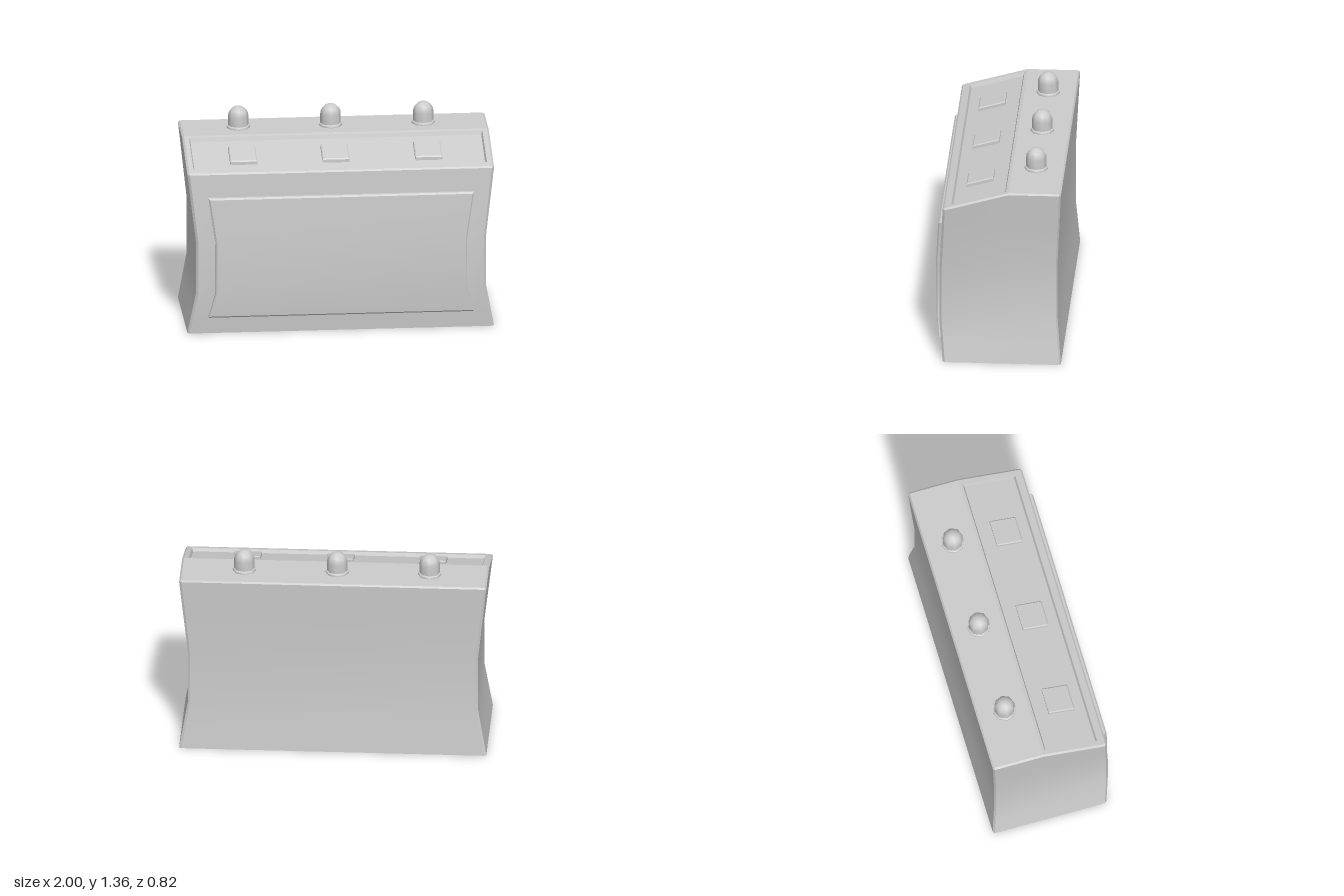
import * as THREE from 'three';
import { toCreasedNormals } from 'three/addons/utils/BufferGeometryUtils.js';

const material = new THREE.MeshStandardMaterial({ color: 0xcccccc, side: THREE.DoubleSide });

// Collects quads given counter-clockwise corners
function pushQuad(out, a, b, c, d) {
  out.push(...a, ...b, ...c, ...a, ...c, ...d);
}

// Joins closed rings of points; skip(level, index) leaves a quad open
function pushLoft(out, rings, skip = () => false) {
  for (let r = 0; r < rings.length - 1; r++) {
    const n = rings[r].length;
    for (let i = 0; i < n; i++) {
      const j = (i + 1) % n;
      if (!skip(r, i)) pushQuad(out, rings[r][i], rings[r][j], rings[r + 1][j], rings[r + 1][i]);
    }
  }
}

function makeMesh(name, positions, crease = 0.5) {
  const geometry = new THREE.BufferGeometry();
  geometry.setAttribute('position', new THREE.Float32BufferAttribute(positions, 3));
  const mesh = new THREE.Mesh(toCreasedNormals(geometry, crease), material);
  mesh.name = name;
  return mesh;
}

// Height levels as fractions: [t, side pinch, forward bow, panel half width]
const levels = [
  [0, 0, 0, 0.865],
  [0.106, 0.022, 0.01, 0.865],
  [0.265, 0.055, 0.025, 0.82],
  [0.573, 0.055, 0.025, 0.82],
  [0.86, 0.018, 0.008, 0.865],
  [1, 0, 0, 0.865],
];
const FRONT = 0.36;
const KNEE = -0.07;
const RIM = 0.35;
const topHeight = (z) => 1.08 + 0.12 * THREE.MathUtils.clamp((0.345 - z) / (0.345 - KNEE), 0, 1);

// Mirrors the +x half of a ring onto -x
const mirrorRing = (half) => [...half, ...half.slice().reverse().map(([x, y, z]) => [-x, y, z])];

// Hollow pinched body with bevelled corners and an open bottom
function createBody() {
  const rings = levels.map(([t, pinch, bow, panel]) => {
    const plan = [[0.985, FRONT], [1, 0.345], [1, KNEE], [1, -0.4], [0.985, -0.41]];
    const half = plan.map(([x, z]) => [x - pinch, t * topHeight(z), z + bow]);
    return mirrorRing([[panel, t * topHeight(FRONT), FRONT + bow], ...half]);
  });
  // Bevelled upper rim
  const rim = [[0.865, RIM], [0.988, RIM], [0.988, RIM], [0.988, KNEE], [0.988, -0.4], [0.988, -0.4]];
  rings.push(mirrorRing(rim.map(([x, z]) => [x, topHeight(z) + 0.01, z])));
  const out = [];
  // The opening behind the raised front panel stays empty
  pushLoft(out, rings, (r, i) => i === rings[0].length - 1 && r >= 1 && r <= 3);
  return makeMesh('body', out);
}

// Raised front panel following the pinch and bow of the body
function createFrontPanel() {
  const rows = levels.slice(1, 5);
  const last = rows.length - 1;
  const ring = (inset, lift) => {
    const side = rows.map(([t, , bow, w], i) => {
      const dy = i === 0 ? inset : i === last ? -inset : 0;
      return [w - inset, t * 1.08 + dy, FRONT + bow + lift];
    });
    return mirrorRing(side);
  };
  const rings = [ring(0, 0), ring(0, 0.02), ring(0.01, 0.03)];
  const out = [];
  pushLoft(out, rings);
  const face = rings[2];
  const n = face.length;
  for (let i = 0; i < last; i++) pushQuad(out, face[n - 1 - i], face[i], face[i + 1], face[n - 2 - i]);
  return makeMesh('frontPanel', out);
}

// Rectangle lying on the sloped top, sunk by depth
function slopeRect(cx, halfWidth, zFront, zBack, depth) {
  const point = (x, z) => [x, 1.09 + 0.12 * (RIM - z) / (RIM - KNEE) - depth, z];
  return [
    point(cx - halfWidth, zFront), point(cx + halfWidth, zFront),
    point(cx + halfWidth, zBack), point(cx - halfWidth, zBack),
  ];
}

function createSlopePart(name, rings) {
  const out = [];
  pushLoft(out, rings);
  pushQuad(out, ...rings[rings.length - 1]);
  return makeMesh(name, out, 0.3);
}

// Small collar and domed cap, eight sided
function createLamp(x) {
  const lamp = new THREE.Group();
  lamp.name = 'lamp';
  const lathe = (name, pairs) => {
    const points = pairs.map(([r, y]) => new THREE.Vector2(r, y));
    const geometry = toCreasedNormals(new THREE.LatheGeometry(points, 8).toNonIndexed(), 0.85);
    const mesh = new THREE.Mesh(geometry, material);
    mesh.name = name;
    lamp.add(mesh);
  };
  lathe('lampCollar', [[0.076, 0], [0.076, 0.013], [0.07, 0.018], [0.06, 0.018]]);
  const dome = [[0.067, 0.01], [0.067, 0.08]];
  for (let i = 1; i <= 5; i++) {
    const a = (i / 5) * Math.PI / 2;
    dome.push([i === 5 ? 0 : 0.067 * Math.cos(a), 0.08 + 0.067 * Math.sin(a)]);
  }
  lathe('lampDome', dome);
  lamp.position.set(x, 1.21, -0.225);
  return lamp;
}

export function createModel() {
  const model = new THREE.Group();
  model.name = 'controlConsole';
  model.add(createBody(), createFrontPanel());

  // Flat rear strip of the top
  const strip = [];
  pushQuad(strip, [-0.988, 1.21, KNEE], [0.988, 1.21, KNEE], [0.988, 1.21, -0.4], [-0.988, 1.21, -0.4]);
  model.add(makeMesh('topStrip', strip));

  // Sloped frame with its sunken control surface
  model.add(createSlopePart('controlDeck', [
    slopeRect(0, 0.988, RIM, KNEE, 0),
    slopeRect(0, 0.957, 0.305, -0.05, 0),
    slopeRect(0, 0.948, 0.295, -0.042, 0.025),
  ]));

  // Three buttons, each with a lamp behind it
  for (const x of [-0.622, -0.02, 0.585]) {
    const button = createSlopePart('button', [
      slopeRect(x, 0.088, 0.225, 0.05, 0.025),
      slopeRect(x, 0.088, 0.225, 0.05, 0.005),
      slopeRect(x, 0.081, 0.218, 0.057, -0.001),
    ]);
    model.add(button, createLamp(x));
  }
  return model;
}
